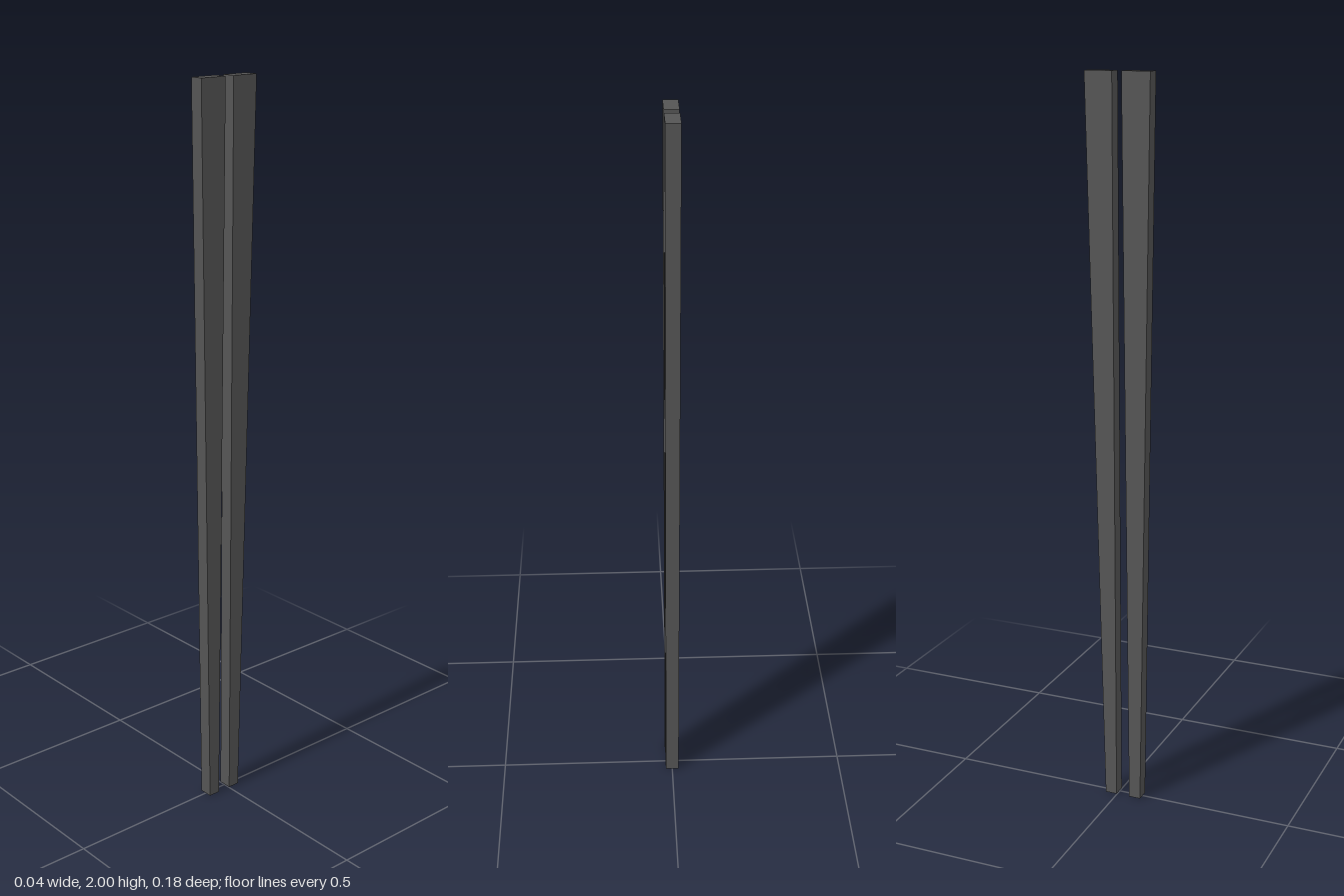
import * as THREE from 'three';

const HEIGHT = 2;
const WIDTH = 0.038;

// A stick of constant width in x, tapering in z from [back, front] at the top to the tip
function makeStick(name, top, tip, material) {
  const geometry = new THREE.BoxGeometry(WIDTH, HEIGHT, 1);
  geometry.translate(0, HEIGHT / 2, 0);
  const p = geometry.attributes.position;
  for (let i = 0; i < p.count; i++) {
    const end = p.getY(i) > HEIGHT / 2 ? top : tip;
    p.setZ(i, end[p.getZ(i) > 0 ? 1 : 0]);
  }
  geometry.computeVertexNormals();
  const mesh = new THREE.Mesh(geometry, material);
  mesh.name = name;
  return mesh;
}

export function createModel() {
  const group = new THREE.Group();
  group.name = 'chopsticks';
  const material = new THREE.MeshStandardMaterial({ color: 0x555555, flatShading: true });

  // Pair of sticks, leaning slightly differently
  group.add(makeStick('frontStick', [0.012, 0.09], [0.037, 0.07], material));
  group.add(makeStick('backStick', [-0.014, -0.09].reverse(), [-0.035, -0.002], material));
  return group;
}
